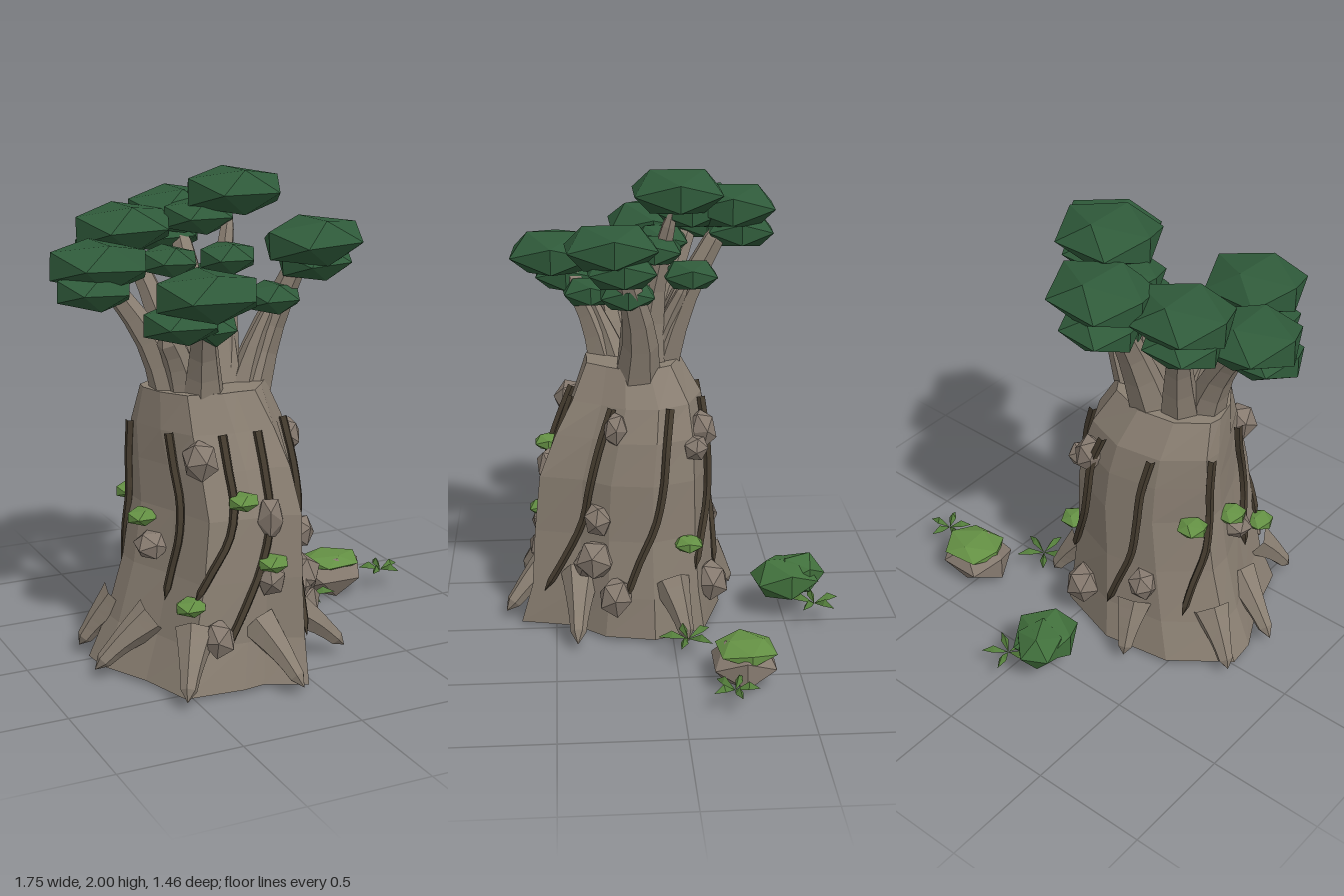
import * as THREE from 'three';

const mat = (name, color, side = THREE.FrontSide) => {
  const m = new THREE.MeshStandardMaterial({ color, flatShading: true, side });
  m.name = name;
  return m;
};

// trunk cross-sections: height, centre x, centre z, radius x, radius z, strength of the lobes
const RINGS = [
  [0.02, -0.27, 0.22, 0.455, 0.44, 1],
  [0.2, -0.24, 0.21, 0.41, 0.4, 0.95],
  [0.45, -0.22, 0.21, 0.36, 0.385, 0.9],
  [0.7, -0.2, 0.2, 0.34, 0.37, 0.85],
  [0.88, -0.21, 0.17, 0.33, 0.33, 0.75],
  [1.02, -0.23, 0.145, 0.31, 0.285, 0.55],
  [1.17, -0.26, 0.155, 0.26, 0.21, 0.4],
];
// buttressed footprint: angle in degrees, relative radius
const LOBES = [
  [-4, 0.84], [10, 0.82], [27, 1.1], [54, 0.77], [80, 0.9], [108, 1.04], [136, 1.13], [172, 1.03],
  [209, 1.04], [244, 1.13], [258, 1.01], [289, 0.8], [323, 0.99], [356, 0.84],
];

function lobe(a) {
  const d = ((((a * 180) / Math.PI + 4) % 360) + 360) % 360 - 4;
  let k = 0;
  while (k < LOBES.length - 2 && d > LOBES[k + 1][0]) k++;
  const [a0, r0] = LOBES[k], [a1, r1] = LOBES[k + 1];
  return r0 + ((r1 - r0) * (d - a0)) / (a1 - a0);
}

// point on the trunk surface; angle 0 faces +z, a quarter turn faces +x
function trunkPoint(a, y, push = 0) {
  let k = 0;
  while (k < RINGS.length - 2 && y > RINGS[k + 1][0]) k++;
  const t = (y - RINGS[k][0]) / (RINGS[k + 1][0] - RINGS[k][0]);
  const [, cx, cz, rx, rz, s] = RINGS[k].map((v, i) => v + (RINGS[k + 1][i] - v) * t);
  const w = 1 + (lobe(a) - 1) * s;
  return new THREE.Vector3(cx + (rx * w + push) * Math.sin(a), y, cz + (rz * w + push) * Math.cos(a));
}

function trunkGeometry() {
  const p = [];
  const tri = (...v) => v.forEach((q) => p.push(q.x, q.y, q.z));
  const top = RINGS[RINGS.length - 1], base = RINGS[0];
  const angles = LOBES.map(([d]) => (d * Math.PI) / 180);
  for (let i = 0; i < angles.length - 1; i++) {
    const a = angles[i], b = angles[i + 1];
    for (let k = 0; k < RINGS.length - 1; k++) {
      const y0 = RINGS[k][0], y1 = RINGS[k + 1][0];
      const A = trunkPoint(a, y0), B = trunkPoint(b, y0), C = trunkPoint(b, y1), D = trunkPoint(a, y1);
      tri(A, B, C);
      tri(A, C, D);
    }
    tri(new THREE.Vector3(top[1], top[0], top[2]), trunkPoint(a, top[0]), trunkPoint(b, top[0]));
    tri(new THREE.Vector3(base[1], base[0], base[2]), trunkPoint(b, base[0]), trunkPoint(a, base[0]));
  }
  const g = new THREE.BufferGeometry();
  g.setAttribute('position', new THREE.Float32BufferAttribute(p, 3));
  g.computeVertexNormals();
  return g;
}

// tapered tube through points, closed to a blunt tip
function limbGeometry(points, r0, r1, segments = 6, sides = 6) {
  const curve = new THREE.CatmullRomCurve3(points.map((q) => (q.isVector3 ? q : new THREE.Vector3(...q))));
  const g = new THREE.TubeGeometry(curve, segments, 1, sides);
  const pos = g.attributes.position, v = new THREE.Vector3();
  for (let i = 0; i < pos.count; i++) {
    const ring = Math.floor(i / (sides + 1));
    const c = curve.getPointAt(ring / segments);
    const r = ring === segments ? 0 : r1 + (r0 - r1) * (1 - ring / (segments - 1)) ** 1.3;
    v.fromBufferAttribute(pos, i).sub(c).multiplyScalar(r).add(c);
    pos.setXYZ(i, v.x, v.y, v.z);
  }
  g.computeVertexNormals();
  return g;
}

export function createModel() {
  const root = new THREE.Group();
  root.name = 'tree';
  const bark = mat('bark', 0x8a7f72);
  const stone = mat('stone', 0x867a6f);
  const vineMat = mat('vine', 0x453c2f);
  const leaf = mat('leaf', 0x2f5a3a);
  const moss = mat('moss', 0x649044);
  const bushMat = mat('bush', 0x41703c);
  const grassMat = mat('grass', 0x55803c, THREE.DoubleSide);

  const group = (name) => {
    const g = new THREE.Group();
    g.name = name;
    root.add(g);
    return g;
  };
  const add = (parent, name, geo, m) => {
    const mesh = new THREE.Mesh(geo, m);
    mesh.name = name;
    parent.add(mesh);
    return mesh;
  };
  // faceted lump with given half extents
  const ico = new THREE.IcosahedronGeometry(1, 0).rotateY(Math.PI / 2);
  const lump = (parent, name, m, [x, y, z], [rx, ry, rz], yaw = 0, tilt = 0) => {
    const mesh = add(parent, name, ico, m);
    mesh.position.set(x, y, z);
    mesh.scale.set(rx, ry, rz).divideScalar(0.851);
    mesh.rotation.set(0, yaw, tilt);
    return mesh;
  };

  add(root, 'trunk', trunkGeometry(), bark);

  // main branches and the twigs below the canopy
  const branches = group('branches');
  [
    [[[-0.09, 1.06, 0.14], [0.01, 1.33, 0.13], [0.15, 1.71, 0.22]], 0.105, 0.045],
    [[[-0.18, 1.06, 0.12], [-0.16, 1.45, 0.07], [-0.06, 1.9, -0.03]], 0.12, 0.03],
    [[[-0.31, 1.06, 0.24], [-0.34, 1.3, 0.31], [-0.4, 1.58, 0.46]], 0.1, 0.045],
    [[[-0.38, 1.06, 0.16], [-0.47, 1.33, 0.13], [-0.66, 1.63, 0.06]], 0.1, 0.045],
    [[[-0.33, 1.06, 0.1], [-0.38, 1.4, 0], [-0.49, 1.76, -0.14]], 0.1, 0.04],
    [[[-0.23, 1.06, 0.06], [-0.2, 1.4, -0.05], [-0.21, 1.8, -0.26]], 0.1, 0.045],
    [[[-0.36, 1.1, 0.2], [-0.42, 1.3, 0.23], [-0.49, 1.43, 0.26]], 0.08, 0.05],
    [[[-0.12, 1.1, 0.16], [-0.06, 1.3, 0.17], [0.03, 1.5, 0.18]], 0.07, 0.025],
    [[[-0.26, 1.1, 0.2], [-0.3, 1.27, 0.26], [-0.33, 1.43, 0.33]], 0.07, 0.025],
    [[[-0.18, 1.1, 0.13], [-0.14, 1.4, 0.11], [-0.12, 1.65, 0.08]], 0.08, 0.025],
    [[[-0.2, 1.1, 0.1], [-0.16, 1.35, 0], [-0.13, 1.54, -0.09]], 0.07, 0.025],
  ].forEach(([pts, r0, r1]) => add(branches, 'branch', limbGeometry(pts, r0, r1), bark));

  // canopy: large crowns, their lower layers, then small tufts
  const foliage = group('foliage');
  const layers = {
    crown: [[0.2, 0.09, 0.18], [
      [-0.05, 1.912, -0.03], [0.17, 1.73, 0.25], [-0.4, 1.59, 0.48],
      [-0.67, 1.66, 0.05], [-0.49, 1.775, -0.14], [-0.21, 1.82, -0.265]]],
    lowerCrown: [[0.15, 0.07, 0.135], [
      [-0.18, 1.81, -0.09], [0.2, 1.64, 0.21], [-0.48, 1.48, 0.42],
      [-0.71, 1.57, 0.1], [-0.53, 1.69, -0.18], [-0.24, 1.71, -0.31]]],
    tuft: [[0.115, 0.06, 0.11], [
      [0.02, 1.5, 0.18], [-0.33, 1.43, 0.33], [-0.12, 1.655, 0.06],
      [-0.36, 1.65, 0.02], [-0.13, 1.545, -0.09]]],
  };
  for (const [name, [size, spots]] of Object.entries(layers))
    spots.forEach((s, i) => lump(foliage, name, leaf, s, size, 0.06 * Math.sin(i * 2.3), 0.05 * Math.sin(i * 1.7)));

  // roots: start point angle, tip x, tip z
  const roots = group('roots');
  [
    [0.12, -0.1, 0.72], [-0.68, -0.57, 0.65], [-1.4, -0.78, 0.2], [-2.1, -0.75, -0.07],
    [-2.95, -0.35, -0.29], [2.1, 0.25, -0.06], [0.9, 0.25, 0.41],
  ].forEach(([a, x, z]) => {
    const s = trunkPoint(a, 0.26, -0.03), tip = new THREE.Vector3(x, 0.045, z);
    const m = s.clone().lerp(tip, 0.5).setY(0.165);
    add(roots, 'root', limbGeometry([s, m, tip], 0.085, 0.034), bark);
  });

  // vines slanting down the bark: angle, lower end, drift
  const vines = group('vines');
  [
    [-1.02, 0.35, 0.15], [-0.26, 0.38, 0.45], [0.25, 0.18, 0.58], [1.17, 0.18, 0.55],
    [2.05, 0.2, 0.45], [2.75, 0.3, 0.4], [-2.75, 0.2, 0.5], [-1.95, 0.25, 0.45],
  ].forEach(([a, low, drift]) => {
    const pts = [0, 0.2, 0.4, 0.6, 0.8, 1].map((t) =>
      trunkPoint(a - drift * t * t - 0.03 * Math.sin(t * 9), 1.02 + (low - 1.02) * t, 0.008));
    add(vines, 'vine', limbGeometry(pts, 0.019, 0.017, 14, 5), vineMat);
  });

  // knots on the bark: angle, height, half width, half height
  const knots = group('knots');
  [
    [-0.62, 0.93, 0.065, 0.075], [0.17, 0.69, 0.05, 0.085], [0.2, 0.45, 0.055, 0.065], [-1.5, 0.55, 0.065, 0.05],
    [1.3, 0.94, 0.045, 0.065], [2.6, 0.9, 0.055, 0.075], [2.4, 0.84, 0.05, 0.05], [1.24, 0.54, 0.055, 0.065],
    [1.22, 0.36, 0.075, 0.08], [1.08, 0.33, 0.05, 0.06], [1.48, 0.21, 0.065, 0.08], [2.65, 0.2, 0.07, 0.08],
    [-0.42, 0.24, 0.06, 0.07], [-2.8, 0.38, 0.055, 0.065],
  ].forEach(([a, y, w, h], i) => lump(knots, 'knot', stone, trunkPoint(a, y, 0.005).toArray(), [w, h, w], a + i, 0.2));

  // moss tufts on the bark
  const mossGroup = group('mossTufts');
  [
    [-0.2, 0.775], [0.19, 0.515], [-0.75, 0.37], [-1.65, 0.655], [2.25, 0.43], [-2.2, 0.7],
  ].forEach(([a, y]) => lump(mossGroup, 'mossTuft', moss, trunkPoint(a, y, 0.02).toArray(), [0.06, 0.032, 0.058]));

  // mossy boulder and bush beside the trunk
  lump(root, 'boulder', stone, [0.54, 0.095, -0.26], [0.15, 0.09, 0.125]);
  lump(root, 'boulderMoss', moss, [0.55, 0.155, -0.268], [0.13, 0.037, 0.113], 0.1);
  lump(root, 'bush', bushMat, [-0.1, 0.17, -0.51], [0.125, 0.088, 0.135], 0.15);
  lump(root, 'bushTop', bushMat, [-0.12, 0.178, -0.57], [0.095, 0.085, 0.11], 0.5);

  // grass: five arching, ridged blades per clump
  [[0.32, -0.05, 0.125], [0.78, -0.2, 0.1], [0.01, -0.63, 0.115]].forEach(([x, z, r], n) => {
    const clump = group('grassClump');
    clump.position.set(x, 0.09, z);
    const blade = new THREE.BufferGeometry();
    blade.setAttribute('position', new THREE.Float32BufferAttribute([
      0, 0, 0, -0.016, 0.012, r * 0.55, 0, 0.04, r * 0.55, 0.016, 0.012, r * 0.55, 0, 0.012, r], 3));
    blade.setIndex([0, 1, 2, 0, 2, 3, 1, 4, 2, 2, 4, 3]);
    blade.computeVertexNormals();
    for (let i = 0; i < 5; i++)
      add(clump, 'blade', blade, grassMat).rotation.y = n * 0.5 + (i * Math.PI * 2) / 5 + 0.15 * Math.sin(i * 3);
  });

  return root;
}
